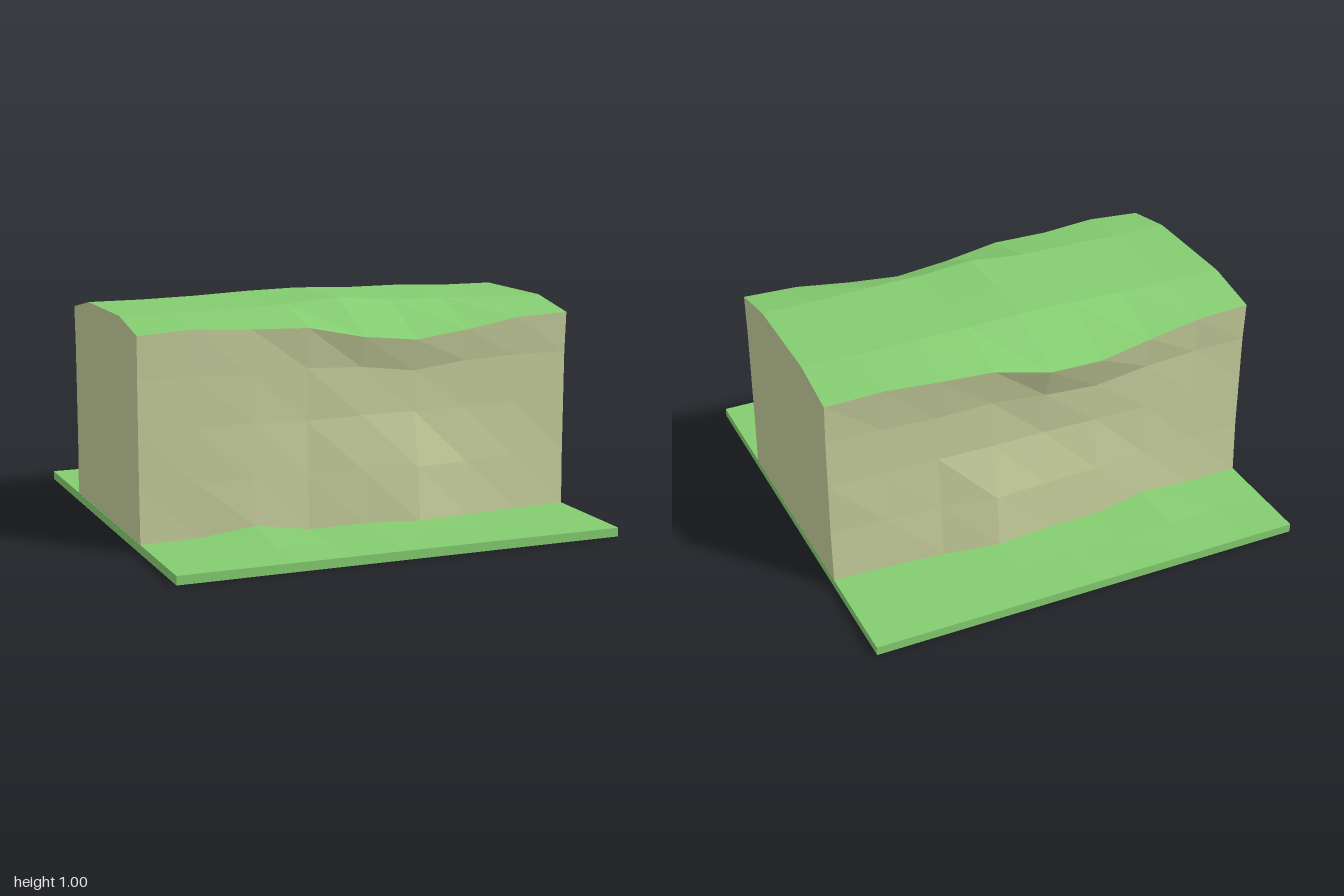
import * as THREE from 'three';

const GRASS = 0x84cc70, ROCK = 0xc4cc9a, N = 9;
const xs = Array.from({ length: N }, (_, i) => -1 + i * 0.25);

function material(color) {
  return new THREE.MeshStandardMaterial({ color, flatShading: true });
}

// A row holds 9 [y, z] points across the width, given as base values plus hundredths
function row(y, z, dy = [], dz = []) {
  return xs.map((_, i) => [y + (dy[i] || 0) / 100, z + (dz[i] || 0) / 100]);
}

// Faceted sheet through rows running from back to front
function sheet(name, color, rows) {
  const pos = [], index = [];
  rows.forEach((r) => r.forEach(([y, z], i) => pos.push(xs[i], y, z)));
  for (let r = 0; r < rows.length - 1; r++) {
    for (let i = 0; i < N - 1; i++) {
      const a = r * N + i, b = a + N;
      index.push(a, b, b + 1, a, b + 1, a + 1);
    }
  }
  const g = new THREE.BufferGeometry();
  g.setAttribute('position', new THREE.Float32BufferAttribute(pos, 3));
  g.setIndex(index);
  const flat = g.toNonIndexed();
  flat.computeVertexNormals();
  const mesh = new THREE.Mesh(flat, material(color));
  mesh.name = name;
  return mesh;
}

export function createModel() {
  const group = new THREE.Group();
  group.name = 'grassyCliff';

  // Turf lips and rolling top
  const frontLip = row(0.92, 0.505, [0, 1.5, 0, -0.5, -5.5, -8, -5, -1, 0], [0, 0.5, 0, 1.5, 3, 3, 2, 1, 0.5]);
  const backLip = row(0.92, -0.51, [0, -1, -4, -7, -6, -1, 0, 1.5, 0], [0, -0.5, -2.5, -5, -6, -3, -2, -1, 0]);
  const top = [
    backLip,
    row(0.97, -0.26, [0, 0, 0.5, 1.5, 2, 1, 1, 0, 0], [1, 1, 0.5, 0, 0, 0, 0, 0.5, 1]),
    row(0.97, 0, [0, 0, 0.5, 1.5, 3, 1, 0.5, 0, 0]),
    row(0.97, 0.25, [0, 0, 0.5, 1.3, 3.5, 1, 1, 0, 0], [0, 0, 0, -1, 0, 0.5, 0, 0, 0]),
    frontLip,
  ];
  group.add(sheet('grassTop', GRASS, top));

  // Rock faces, listed from lip to foot
  const frontWall = [
    frontLip,
    row(0.74, 0.5, [0, -0.5, -2, 0, -1, -4, -1, 0, 0], [0, 0.5, 0.5, 0, 0, 0.5, 0.5, 0, 0]),
    row(0.52, 0.5, [0, 0, 0, -1, 0, 0, 0, 0, 0], [0, 0.5, 1, 0, 1, 1, 0.5, 0, 0]),
    row(0.28, 0.5, [0, 0, 0, -1, 0, 0, 0, 0, 0], [0, 1, 2, 1.5, 4, 6, 2.5, 1, 0]),
    row(0.04, 0.505, [0, 0.5, 4, 0, 1, 0.5, 0, 0, 0], [0, 0.5, 2.5, 2, 5, 8, 4, 1.5, 0]),
  ];
  const backWall = [
    row(0.04, -0.51, [0, 0.5, 3.5, 0.5, 1, 1, 0, 0, 0], [0, -1, -3, -5, -6, -8, -3, -1, 0]),
    row(0.28, -0.5, [], [0, -0.5, -2, -4, -5, -6.5, -2, -1, 0]),
    row(0.52, -0.5, [], [0, -0.5, -1, -1, -0.5, -1, -0.5, 0, 0]),
    row(0.74, -0.5, [0, 0, -1, -4, -2, 0, -1, 0, 0], [0, 0, -1, -1.5, -2, -1, -0.5, 0, 0]),
    backLip,
  ];
  group.add(sheet('frontRock', ROCK, frontWall), sheet('backRock', ROCK, backWall));

  // Flat rock ends closing the cross-section
  const section = [...backWall, ...top.slice(1), ...frontWall.slice(1)];
  [[0, -1, 'rightEnd'], [N - 1, 1, 'leftEnd']].forEach(([i, x, name]) => {
    const shape = new THREE.Shape(section.map((r) => new THREE.Vector2(-r[i][1], r[i][0])));
    const mat = material(ROCK);
    mat.side = THREE.DoubleSide;
    const end = new THREE.Mesh(new THREE.ShapeGeometry(shape), mat);
    end.rotation.y = Math.PI / 2;
    if (x < 0) {
      // Turn the winding outward on this end
      const ids = end.geometry.index;
      for (let k = 0; k < ids.count; k += 3) {
        const a = ids.getX(k);
        ids.setX(k, ids.getX(k + 1));
        ids.setX(k + 1, a);
      }
      end.geometry.computeVertexNormals();
    }
    end.position.x = x;
    end.name = name;
    group.add(end);
  });

  // Ground turf rising slightly to the foot of the rock
  const bump = [0, 0.2, 1, 0.2, 0.4, 0.2, 0, 0, 0];
  group.add(
    sheet('frontGround', GRASS, [frontWall[4], row(0.04, 0.77, bump, [-1, -1, 1, 1]), row(0.04, 1)]),
    sheet('backGround', GRASS, [row(0.04, -1), row(0.04, -0.77, bump, [1, 1, -1, -1]), backWall[0]]),
  );

  // Thin base slab
  const slab = new THREE.Mesh(new THREE.BoxGeometry(2, 0.039, 2), material(GRASS));
  slab.position.y = 0.0195;
  slab.name = 'baseSlab';
  group.add(slab);

  return group;
}
